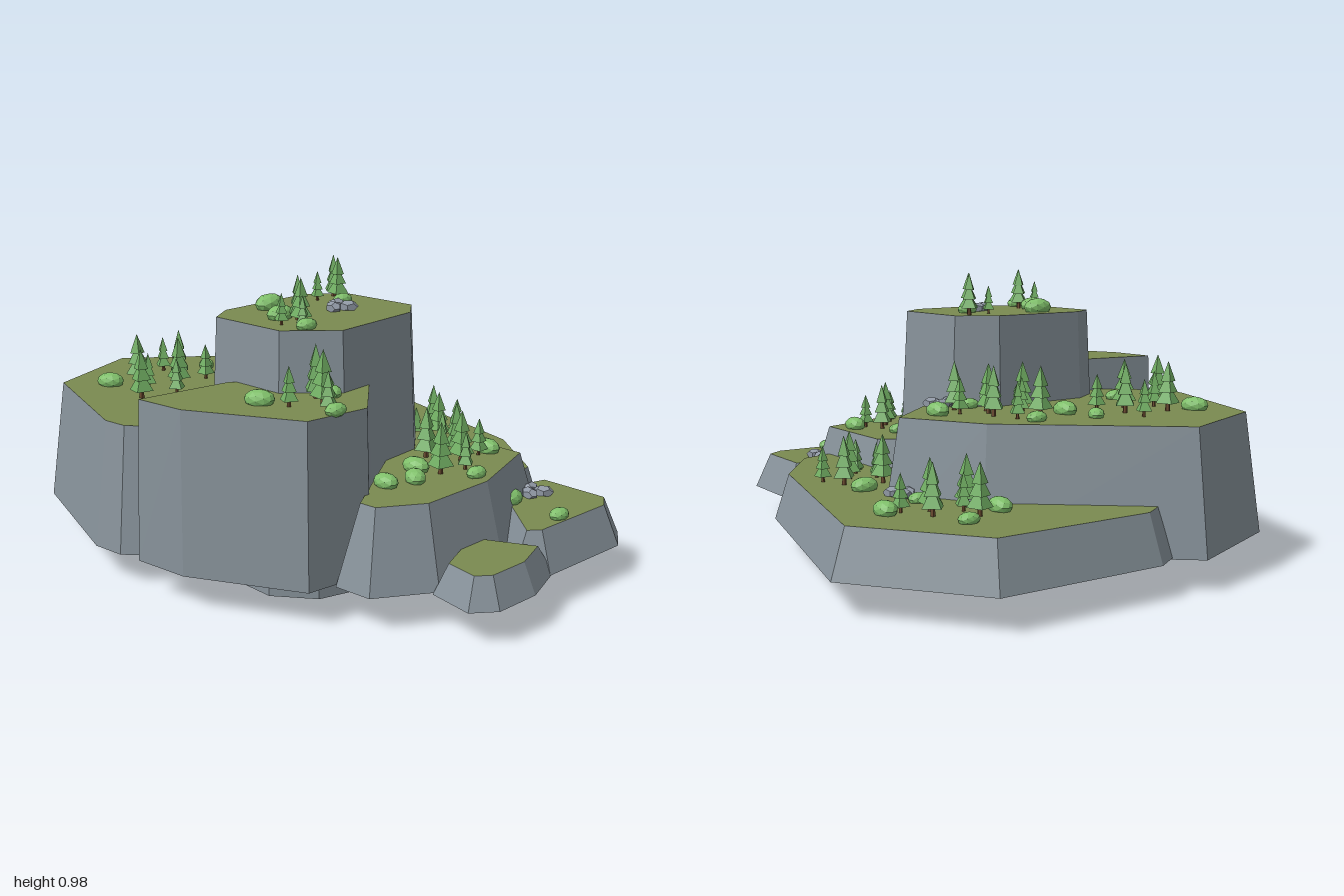
import * as THREE from 'three';

const mat = (color) => new THREE.MeshStandardMaterial({ color, flatShading: true });
const ROCK = mat(0x87929a), GRASS = mat(0x7a8a50), LEAF = mat(0x70ad62);
const TRUNK = mat(0x6b4a2f), BUSH = mat(0x7fbf6a), STONE = mat(0x8f97a3);

// Moves every edge of an outline inward by d (mitred corners)
function inset(pts, d) {
  const n = pts.length;
  const normal = (a, b) => new THREE.Vector2(a.y - b.y, b.x - a.x).normalize();
  return pts.map((p, i) => {
    const n1 = normal(pts[(i + n - 1) % n], p), n2 = normal(p, pts[(i + 1) % n]);
    return p.clone().addScaledVector(n1.clone().add(n2), d / (1 + n1.dot(n2)));
  });
}

// Flat-topped cliff: sloping rock sides, rock underside and a separate top cap
function cliff(name, coords, y0, y1, slope, capMat) {
  const group = new THREE.Group();
  group.name = name;
  const low = coords.map(([x, z]) => new THREE.Vector2(x, z));
  if (THREE.ShapeUtils.area(low) < 0) low.reverse();
  const high = inset(low, slope), n = low.length;
  const build = (verts, material, part) => {
    const g = new THREE.BufferGeometry();
    g.setAttribute('position', new THREE.Float32BufferAttribute(verts, 3));
    g.computeVertexNormals();
    const m = new THREE.Mesh(g, material);
    m.name = part;
    group.add(m);
  };
  const L = (i) => [low[i % n].x, y0, low[i % n].y];
  const H = (i) => [high[i % n].x, y1, high[i % n].y];
  const rock = [], cap = [];
  for (let i = 0; i < n; i++) rock.push(...L(i), ...H(i), ...L(i + 1), ...L(i + 1), ...H(i), ...H(i + 1));
  for (const [a, b, c] of THREE.ShapeUtils.triangulateShape(low, [])) {
    rock.push(...L(a), ...L(b), ...L(c));
    cap.push(...H(a), ...H(c), ...H(b));
  }
  build(rock, ROCK, name + 'Rock');
  build(cap, capMat, name + 'Top');
  return group;
}

// Conifer: trunk with three stacked four-sided cones
const trunkGeo = new THREE.CylinderGeometry(0.04, 0.05, 0.25, 5).translate(0, 0.125, 0);
const coneGeos = [0, 1, 2].map((i) =>
  new THREE.ConeGeometry(0.25 - i * 0.05, 0.4, 4).translate(0, 0.36 + i * 0.22, 0));
function tree(x, y, z, h, turn) {
  const g = new THREE.Group();
  g.name = 'tree';
  g.add(new THREE.Mesh(trunkGeo, TRUNK), ...coneGeos.map((c) => new THREE.Mesh(c, LEAF)));
  g.children.forEach((m, i) => { m.name = i ? 'treeFoliage' : 'treeTrunk'; });
  g.position.set(x, y, z);
  g.scale.setScalar(h);
  g.rotation.y = turn;
  return g;
}

// Low rounded lump, used for bushes and stones
const bushGeo = new THREE.IcosahedronGeometry(1, 1), stoneGeo = new THREE.DodecahedronGeometry(1);
function lump(name, geo, material, x, y, z, r, turn) {
  const m = new THREE.Mesh(geo, material);
  m.name = name;
  m.position.set(x, y + r * 0.3, z);
  m.scale.set(r, r * 0.6, r * 0.74);
  m.rotation.y = turn;
  return m;
}

// Grove: trees spread in a spiral over an ellipse, bushes around its rim
function grove(terrace, y, x, z, rx, rz, trees, bushes, tallest = 0.17) {
  for (let i = 0; i < trees; i++) {
    const r = Math.sqrt((i + 0.5) / trees), a = i * 2.4;
    const h = tallest - (i % 2) * 0.045;
    terrace.add(tree(x + rx * r * Math.cos(a), y, z + rz * r * Math.sin(a), h, i * 1.3));
  }
  for (let i = 0; i < bushes; i++) {
    const a = 0.9 + (i / bushes) * Math.PI * 2;
    terrace.add(lump('bush', bushGeo, BUSH, x + rx * 1.25 * Math.cos(a), y, z + rz * 1.25 * Math.sin(a),
      0.037 + (i % 2) * 0.012, a));
  }
}

// Small heap of three stones
function stones(terrace, y, x, z) {
  for (let i = 0; i < 3; i++) {
    const a = i * 2.1;
    terrace.add(lump('stone', stoneGeo, STONE, x + 0.03 * Math.cos(a), y, z + 0.03 * Math.sin(a), 0.035, a));
  }
}

export function createModel() {
  const model = new THREE.Group();
  model.name = 'terracedIsland';
  const addTerrace = (...args) => {
    const t = cliff(...args, GRASS);
    model.add(t);
    return t;
  };

  // Eight-sided foot, mirrored from one quarter
  const side = [[0.375, 0.18], [0.08, 0.41], [-0.08, 0.41], [-0.375, 0.18]];
  const foot = [...side, ...side.map(([x, z]) => [-x, -z])].map(([x, z]) => [x - 0.015, z + 0.26]);
  model.add(cliff('foot', foot, 0, 0.125, 0, ROCK));

  // Low terrace at the back
  const back = addTerrace('backTerrace', [[-0.42, -0.93], [0.1, -0.94], [0.65, -0.26], [0.75, 0.07],
    [0.6, 0.45], [-0.7, 0], [-0.79, -0.32], [-0.78, -0.43]], 0.11, 0.27, 0.05);
  grove(back, 0.27, -0.13, -0.62, 0.16, 0.11, 7, 4);
  grove(back, 0.27, 0.33, -0.24, 0.12, 0.16, 6, 2);
  stones(back, 0.27, 0.08, -0.45);

  // Broad terrace on the right-hand side of the hill
  const broad = addTerrace('broadTerrace', [[-1, 0.14], [-0.895, -0.3], [-0.21, -0.48], [0.16, -0.44],
    [0.2, 0], [0.1, 0.5], [-0.42, 0.65], [-0.58, 0.66], [-0.68, 0.6]], 0.105, 0.52, 0.053);
  grove(broad, 0.52, -0.57, 0.09, 0.16, 0.22, 8, 3);
  grove(broad, 0.52, -0.18, -0.2, 0.2, 0.11, 9, 4);
  stones(broad, 0.52, 0.08, -0.1);

  // Steep terrace at the front
  const front = addTerrace('frontTerrace', [[-0.5, 0.72], [-0.33, 0.82], [0.07, 0.885], [0.23, 0.71],
    [0.2, 0.43], [-0.26, 0.46]], 0.115, 0.64, 0.012);
  grove(front, 0.64, 0.04, 0.69, 0.12, 0.09, 4, 3);

  // Summit tower
  const summit = addTerrace('summit', [[-0.345, 0.42], [-0.34, 0.28], [-0.13, -0.04], [0.04, -0.105],
    [0.32, 0.09], [0.33, 0.24], [0.14, 0.57], [-0.08, 0.61]], 0.12, 0.835, 0.033);
  grove(summit, 0.835, 0, 0.05, 0.07, 0.06, 3, 1, 0.145);
  grove(summit, 0.835, -0.05, 0.46, 0.07, 0.07, 4, 2, 0.145);
  summit.add(lump('bush', bushGeo, BUSH, -0.17, 0.835, 0.24, 0.055, 1));
  stones(summit, 0.835, 0.06, 0.22);

  // Middle terrace on the left-hand side
  const middle = addTerrace('middleTerrace', [[0.2, 0], [0.38, -0.06], [0.745, 0.2], [0.63, 0.56],
    [0.45, 0.81], [0.25, 0.89], [0.14, 0.82]], 0.112, 0.37, 0.065);
  grove(middle, 0.37, 0.45, 0.34, 0.11, 0.15, 7, 4);
  for (const [x, z] of [[0.265, 0.62], [0.35, 0.565]]) {
    middle.add(lump('bush', bushGeo, BUSH, x, 0.37, z, 0.045, z * 9));
  }

  // Two low ledges in front of the middle terrace
  const ledge = addTerrace('sideLedge', [[0.755, 0.045], [1, 0.23], [0.995, 0.35], [0.775, 0.63],
    [0.66, 0.66], [0.55, 0.2]], 0.11, 0.24, 0.052);
  grove(ledge, 0.24, 0.72, 0.41, 0.1, 0.06, 0, 2);
  stones(ledge, 0.24, 0.72, 0.26);
  addTerrace('frontLedge', [[0.43, 0.82], [0.54, 0.935], [0.63, 0.91], [0.73, 0.78], [0.785, 0.6],
    [0.5, 0.55]], 0.108, 0.205, 0.04);

  return model;
}
